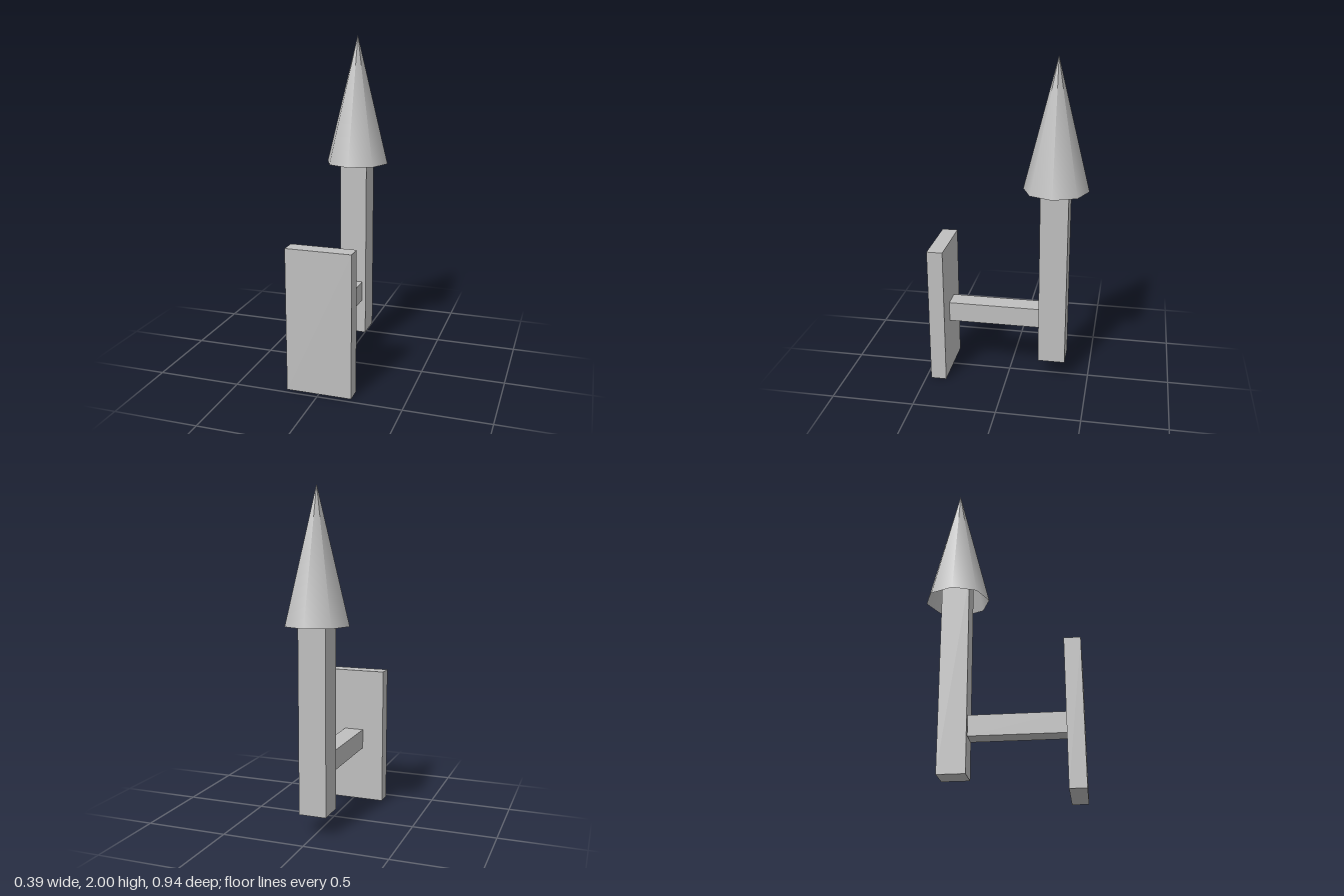
import * as THREE from 'three';

export function createModel() {
  const model = new THREE.Group();
  // Double-sided because the cone is hollow and open underneath
  const grey = new THREE.MeshStandardMaterial({ color: 0xbfbfbf, side: THREE.DoubleSide });
  grey.name = 'plain grey';

  const add = (name, geometry, x, y, z) => {
    const mesh = new THREE.Mesh(geometry, grey);
    mesh.name = name;
    mesh.position.set(x, y, z);
    model.add(mesh);
  };
  // Box given by its width and its y and z ranges, centred on x = 0
  const addBox = (name, width, y0, y1, z0, z1) =>
    add(name, new THREE.BoxGeometry(width, y1 - y0, z1 - z0), 0, (y0 + y1) / 2, (z0 + z1) / 2);

  // Mounting plate, arm and upright post
  addBox('mountingPlate', 0.39, 0, 0.857, 0.372, 0.468);
  addBox('arm', 0.122, 0.344, 0.467, -0.19, 0.372);
  addBox('post', 0.166, 0.125, 1.345, -0.358, -0.192);

  // Eight-sided, smooth-shaded hollow cone over the top of the post
  const coneBase = 1.222, coneTop = 2;
  add('coneShade', new THREE.ConeGeometry(0.195, coneTop - coneBase, 8, 1, true),
    0, (coneBase + coneTop) / 2, -0.275);

  return model;
}
